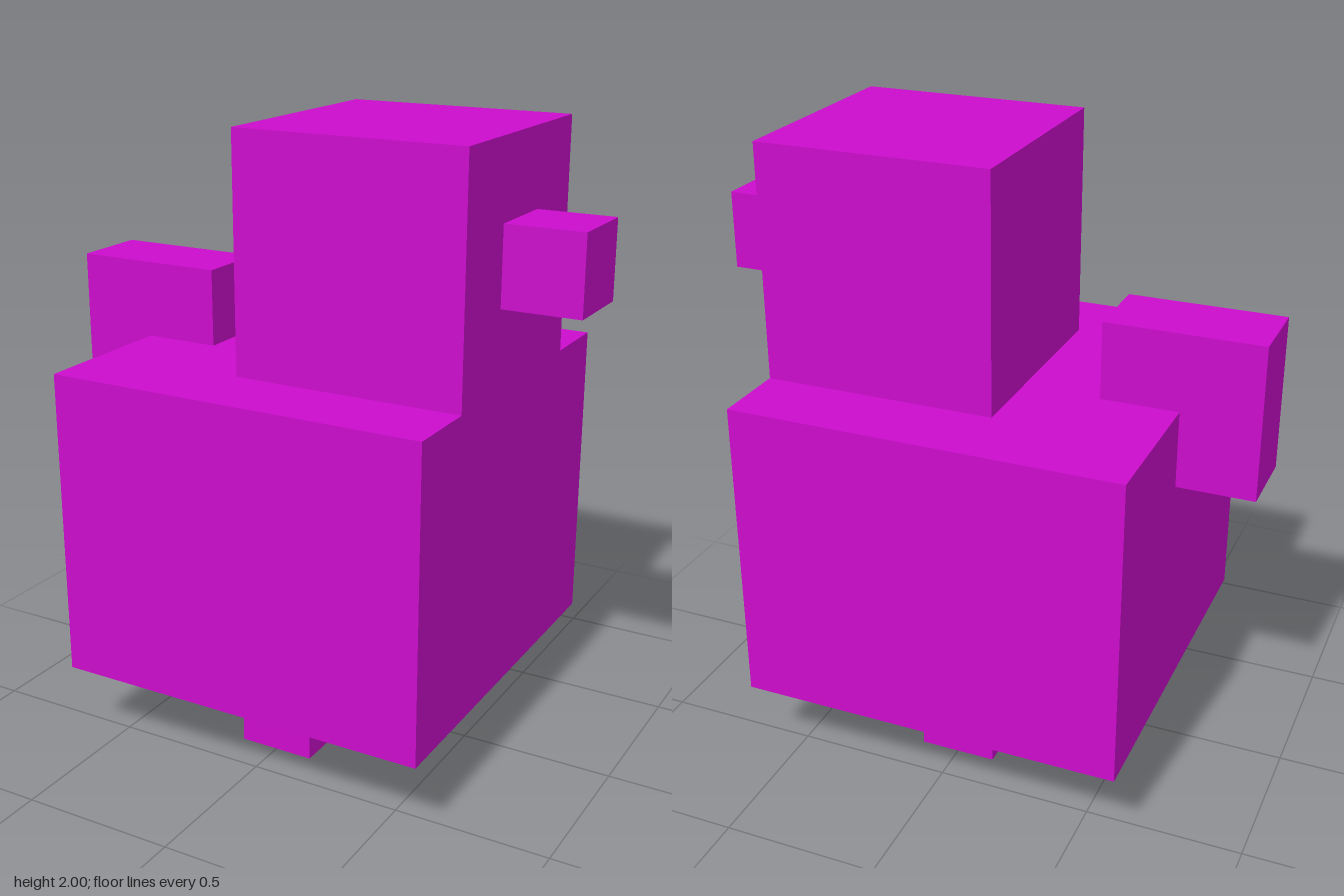
import * as THREE from 'three';

const magenta = new THREE.MeshStandardMaterial({ color: 0xcc0ccc, side: THREE.DoubleSide });
magenta.name = 'magenta';

// Box given by its extents; openBottom drops the downward face
function block(name, [x0, x1], [y0, y1], [z0, z1], openBottom = false) {
  const geometry = new THREE.BoxGeometry(x1 - x0, y1 - y0, z1 - z0);
  if (openBottom) {
    const bottom = geometry.groups[3];
    const index = Array.from(geometry.index.array);
    index.splice(bottom.start, bottom.count);
    geometry.setIndex(index);
  }
  geometry.clearGroups();
  const mesh = new THREE.Mesh(geometry, magenta);
  mesh.name = name;
  mesh.position.set((x0 + x1) / 2, (y0 + y1) / 2, (z0 + z1) / 2);
  return mesh;
}

export function createModel() {
  const model = new THREE.Group();
  model.name = 'blockBird';

  // Hollow body, open underneath
  model.add(block('body', [-0.625, 0.625], [0.25, 1.25], [-0.625, 0.625], true));

  // Head with beak, and the tail sunk into the body's top edge
  model.add(block('head', [-0.125, 0.625], [1.25, 2], [-0.375, 0.375]));
  model.add(block('beak', [0.625, 0.875], [1.5, 1.75], [-0.125, 0.125]));
  model.add(block('tail', [-0.875, -0.375], [1, 1.5], [-0.125, 0.125]));

  // Feet, also open underneath
  for (const side of [-1, 1]) {
    const z = side * 0.25;
    model.add(block(side > 0 ? 'frontFoot' : 'backFoot',
      [-0.125, 0.125], [0, 0.25], [z - 0.125, z + 0.125], true));
  }
  return model;
}
